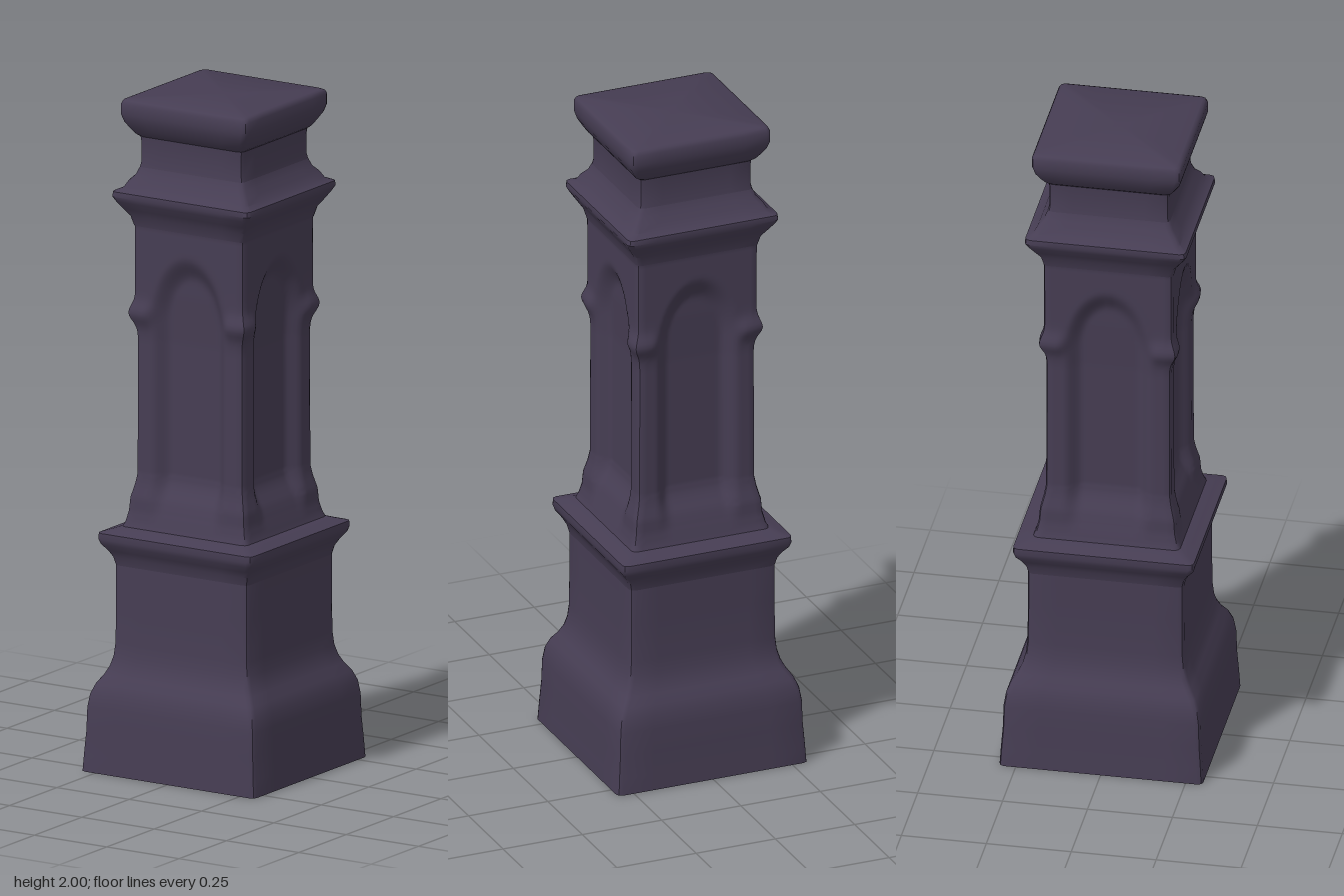
import * as THREE from 'three';
import { mergeVertices, toCreasedNormals } from 'three/addons/utils/BufferGeometryUtils.js';

const { smoothstep } = THREE.MathUtils;

// Arched niche depth minus the little corner capitals, at offset t along a face
function shaftRelief(t, y) {
  const w = 0.13, spring = 1.34, rise = 0.21;
  const inside = y <= spring ? w - Math.abs(t) : w * (1 - Math.hypot(t / w, (y - spring) / rise));
  const niche = 0.032 * smoothstep(inside, 0, 0.05) * smoothstep(y, 0.74, 0.88);
  const knob = 0.017 * Math.exp(-(((y - 1.36) / 0.032) ** 2)) * smoothstep(Math.abs(t), 0.11, 0.15);
  return niche - knob;
}

// Split a [halfWidth, y] profile into rows no taller than step
function subdivide(profile, step) {
  const rows = [profile[0]];
  for (let i = 1; i < profile.length; i++) {
    const [r0, y0] = profile[i - 1], [r1, y1] = profile[i];
    const n = Math.max(1, Math.ceil((y1 - y0) / step));
    for (let k = 1; k <= n; k++) rows.push([r0 + (r1 - r0) * k / n, y0 + (y1 - y0) * k / n]);
  }
  return rows;
}

// Closed square loft with softened corners and optional relief on the faces
function squareLoft(rows, perSide = 6, relief = () => 0, corner = 0.016) {
  const pos = [], idx = [];
  const ring = 4 * (perSide + 2);
  for (const [r, y] of rows) {
    for (let k = 0; k < 4; k++) {
      const c = [1, 0, -1, 0][k], s = [0, 1, 0, -1][k];
      const put = (x, z) => pos.push(x * c + z * s, y, -x * s + z * c);
      const edge = r - corner;
      for (let i = 0; i <= perSide; i++) {
        const t = edge * (2 * i / perSide - 1);
        put(t, r - relief(t, y));
      }
      const m = edge + corner * 0.71 - relief(edge, y);
      put(m, m);
    }
  }
  for (let j = 0; j < rows.length - 1; j++) {
    for (let i = 0; i < ring; i++) {
      const a = j * ring + i, b = j * ring + (i + 1) % ring;
      idx.push(a, b, b + ring, a, b + ring, a + ring);
    }
  }
  // End caps
  const last = (rows.length - 1) * ring, mid = pos.length / 3;
  pos.push(0, rows[0][1], 0, 0, rows[rows.length - 1][1], 0);
  for (let i = 0; i < ring; i++) {
    const n = (i + 1) % ring;
    idx.push(mid, n, i, mid + 1, last + i, last + n);
  }
  const geo = new THREE.BufferGeometry();
  geo.setAttribute('position', new THREE.Float32BufferAttribute(pos, 3));
  geo.setIndex(idx);
  return toCreasedNormals(mergeVertices(geo), 0.75);
}

export function createModel() {
  const group = new THREE.Group();
  const stone = new THREE.MeshStandardMaterial({ color: 0x463d53 });
  stone.name = 'dark violet stone';
  const add = (name, geometry) => {
    const mesh = new THREE.Mesh(geometry, stone);
    mesh.name = name;
    group.add(mesh);
  };

  // Plinth with ogee shoulder
  add('plinth', squareLoft([
    [0.3, 0], [0.297, 0.05], [0.292, 0.12], [0.29, 0.19], [0.284, 0.23], [0.272, 0.26],
    [0.255, 0.285], [0.243, 0.31], [0.235, 0.34], [0.231, 0.38], [0.23, 0.5], [0.23, 0.62],
  ]));

  // Moulding between plinth and shaft
  add('lowerMoulding', squareLoft([
    [0.23, 0.61], [0.236, 0.635], [0.247, 0.655], [0.262, 0.675], [0.267, 0.69],
    [0.266, 0.708], [0.24, 0.716], [0.215, 0.725],
  ]));

  // Shaft with an arched niche on each face
  const shaft = subdivide([
    [0.222, 0.71], [0.21, 0.74], [0.203, 0.77], [0.2, 0.81], [0.19, 0.85], [0.185, 0.88],
    [0.184, 1.28], [0.19, 1.42], [0.191, 1.62], [0.197, 1.65],
  ], 0.012);
  add('shaft', squareLoft(shaft, 36, shaftRelief));

  // Moulding above the shaft
  add('upperMoulding', squareLoft([
    [0.192, 1.62], [0.2, 1.65], [0.215, 1.672], [0.23, 1.695], [0.238, 1.71],
    [0.236, 1.725], [0.215, 1.735], [0.204, 1.755], [0.189, 1.772], [0.18, 1.795],
  ]));

  // Neck and flat cap
  add('neck', squareLoft([[0.183, 1.78], [0.177, 1.81], [0.177, 1.87], [0.18, 1.895]]));
  add('cap', squareLoft([
    [0.178, 1.885], [0.188, 1.893], [0.2, 1.91], [0.213, 1.932], [0.22, 1.955],
    [0.22, 1.985], [0.215, 1.996], [0.206, 2],
  ]));

  return group;
}
